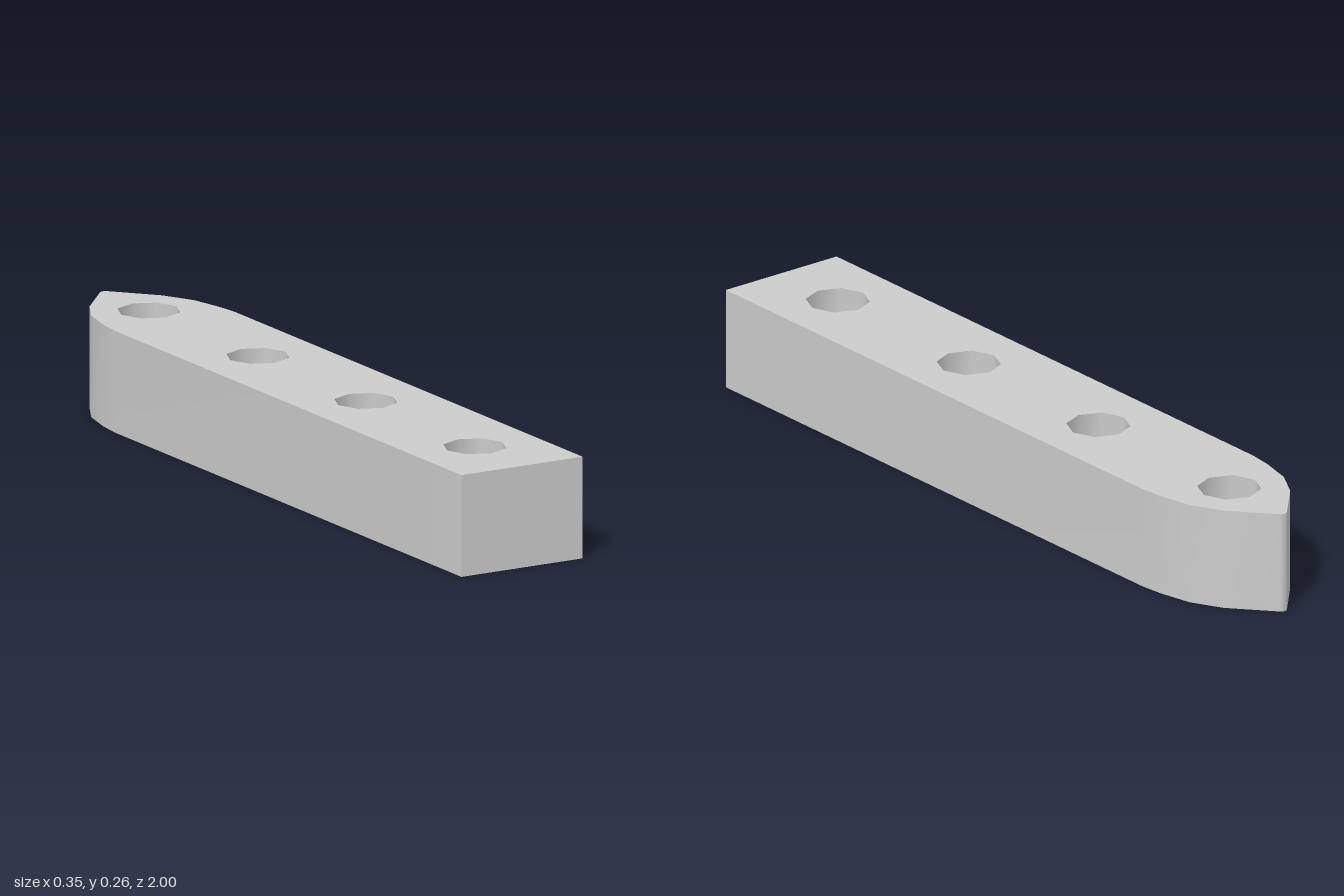
import * as THREE from 'three';
import { mergeGeometries, toCreasedNormals } from 'three/addons/utils/BufferGeometryUtils.js';

const HEIGHT = 0.26, HOLE_FLOOR = 0.08, HOLE_RADIUS = 0.08;
const HOLE_Z = [-0.78, -0.26, 0.255, 0.775];
const CREASE = 1.0;

const material = new THREE.MeshStandardMaterial({ color: 0xcccccc });

// Plan points are (x, -z), counter-clockwise
const half = [[0.175, -1], [0.175, 0.655], [0.168, 0.72], [0.148, 0.81], [0.105, 0.89], [0.011, 0.995], [0.004, 1]];
const outline = [...half, ...half.map(([x, y]) => [-x, y]).reverse()].map(([x, y]) => new THREE.Vector2(x, y));

function octagon(z) {
  return Array.from({ length: 8 }, (_, i) => {
    const a = i * Math.PI / 4;
    return new THREE.Vector2(HOLE_RADIUS * Math.cos(a), HOLE_RADIUS * Math.sin(a) - z);
  });
}

// Upright wall along a closed loop, facing right of its direction
function wall(points, y0, y1) {
  const pos = [];
  points.forEach((p, i) => {
    const q = points[(i + 1) % points.length];
    const a = [p.x, y0, -p.y], b = [q.x, y0, -q.y], c = [q.x, y1, -q.y], d = [p.x, y1, -p.y];
    pos.push(...a, ...b, ...c, ...a, ...c, ...d);
  });
  const g = new THREE.BufferGeometry();
  g.setAttribute('position', new THREE.Float32BufferAttribute(pos, 3));
  return g;
}

// Flat upward face
function cap(points, y, holes = []) {
  const shape = new THREE.Shape(points);
  shape.holes = holes.map((h) => new THREE.Path(h));
  const g = new THREE.ShapeGeometry(shape).rotateX(-Math.PI / 2).translate(0, y, 0).toNonIndexed();
  g.deleteAttribute('uv');
  g.deleteAttribute('normal');
  return g;
}

function addMesh(group, name, parts) {
  const mesh = new THREE.Mesh(toCreasedNormals(mergeGeometries(parts), CREASE), material);
  mesh.name = name;
  group.add(mesh);
}

export function createModel() {
  const group = new THREE.Group();
  group.name = 'pointedBar';
  const holes = HOLE_Z.map(octagon);

  // Bar with a pointed nose: top with holes, sides, solid underside
  const underside = cap(outline.map((p) => new THREE.Vector2(p.x, -p.y)), 0).rotateX(Math.PI);
  addMesh(group, 'bar', [cap(outline, HEIGHT, holes), wall(outline, 0, HEIGHT), underside]);

  // Blind eight-sided sockets
  holes.forEach((h, i) => {
    addMesh(group, `socket${i + 1}`, [wall([...h].reverse(), HOLE_FLOOR, HEIGHT), cap(h, HOLE_FLOOR)]);
  });
  return group;
}
